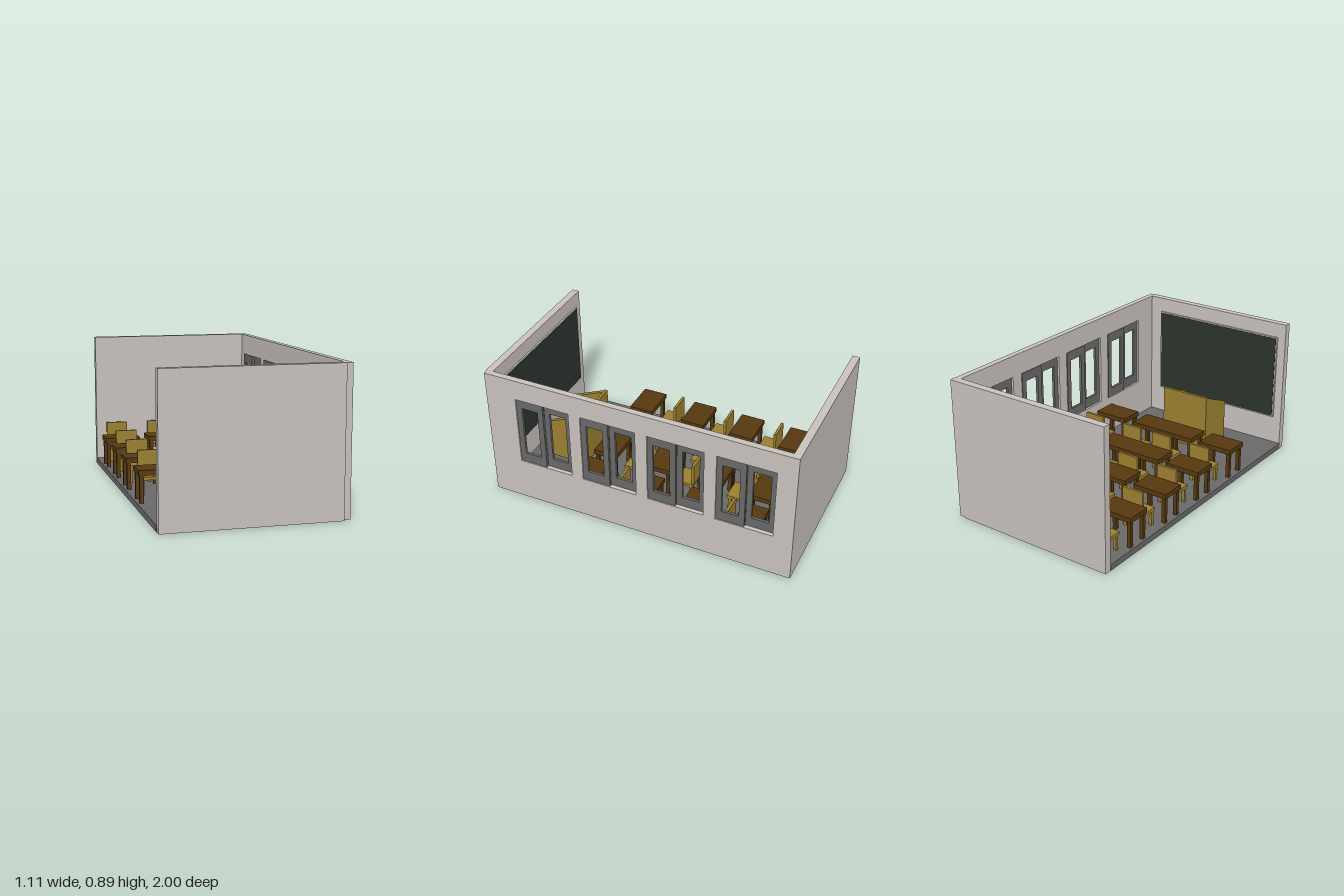
import * as THREE from 'three';

const mat = (color) => new THREE.MeshStandardMaterial({ color });
const wallMat = mat(0xc8c1bc), floorMat = mat(0x696969), frameMat = mat(0x686868);
const deskMat = mat(0x55380f), chairMat = mat(0x9b8030), boardMat = mat(0x2b342d);

// Box given by its minimum and maximum corners
function box(name, material, [x0, y0, z0], [x1, y1, z1]) {
  const mesh = new THREE.Mesh(new THREE.BoxGeometry(x1 - x0, y1 - y0, z1 - z0), material);
  mesh.position.set((x0 + x1) / 2, (y0 + y1) / 2, (z0 + z1) / 2);
  mesh.name = name;
  return mesh;
}

function rect(target, a0, b0, a1, b1) {
  target.moveTo(a0, b0);
  target.lineTo(a1, b0);
  target.lineTo(a1, b1);
  target.lineTo(a0, b1);
  target.closePath();
  return target;
}

// Plate in the z-y plane, extruded from x0 to x1 (shape x runs along -z)
function sidePlate(name, material, shape, x0, x1) {
  const geo = new THREE.ExtrudeGeometry(shape, { depth: x1 - x0, bevelEnabled: false });
  geo.rotateY(Math.PI / 2);
  const mesh = new THREE.Mesh(geo, material);
  mesh.position.x = x0;
  mesh.name = name;
  return mesh;
}

const FLOOR = 0.04;

// Four legs inside a footprint
function addLegs(group, name, material, w, d, top, t) {
  for (const sx of [-1, 1]) for (const sz of [-1, 1]) {
    const x = sx * (w / 2 - t / 2), z = sz * (d / 2 - t / 2);
    group.add(box(name, material, [x - t / 2, FLOOR, z - t / 2], [x + t / 2, top, z + t / 2]));
  }
}

function makeDesk() {
  const g = new THREE.Group();
  g.name = 'desk';
  g.add(box('deskTop', deskMat, [-0.115, 0.205, -0.08], [0.115, 0.237, 0.08]));
  addLegs(g, 'deskLeg', deskMat, 0.215, 0.145, 0.205, 0.024);
  return g;
}

function makeChair() {
  const g = new THREE.Group();
  g.name = 'chair';
  g.add(box('seat', chairMat, [-0.072, 0.132, -0.055], [0.072, 0.152, 0.062]));
  g.add(box('backrest', chairMat, [-0.07, 0.152, -0.062], [0.07, 0.297, -0.045]));
  addLegs(g, 'chairLeg', chairMat, 0.138, 0.108, 0.132, 0.02);
  return g;
}

function makeTeacherDesk() {
  const g = new THREE.Group();
  g.name = 'teacherDesk';
  const top = 0.415;
  g.add(box('frontPanel', chairMat, [-0.195, FLOOR, 0.57], [0.143, top, 0.59]));
  // Side panels slope down away from the pupils
  const side = new THREE.Shape();
  side.moveTo(-0.81, FLOOR);
  side.lineTo(-0.59, FLOOR);
  side.lineTo(-0.59, 0.41);
  side.lineTo(-0.81, 0.316);
  side.closePath();
  g.add(sidePlate('sidePanel', chairMat, side, -0.195, -0.167));
  g.add(sidePlate('sidePanel', chairMat, side, 0.115, 0.143));
  g.add(box('writingSurface', chairMat, [-0.167, 0.25, 0.59], [0.115, 0.275, 0.808]));
  return g;
}

// One window sash: a framed plate with an open centre
function makeSash(z0, x0, x1) {
  const w = 0.18;
  const shape = rect(new THREE.Shape(), -z0, 0.29, -z0 + w, 0.755);
  shape.holes.push(rect(new THREE.Path(), -z0 + 0.036, 0.355, -z0 + w - 0.036, 0.695));
  return sidePlate('windowSash', frameMat, shape, x0, x1);
}

export function createModel() {
  const model = new THREE.Group();
  model.name = 'classroom';

  // Room shell, open on the right side and the top
  model.add(box('floor', floorMat, [-0.553, 0.002, -0.957], [0.515, FLOOR, 0.957]));
  model.add(box('frontWall', wallMat, [-0.55, 0, 0.953], [0.513, 0.89, 1]));
  model.add(box('backWall', wallMat, [-0.55, 0, -1], [0.513, 0.89, -0.953]));

  // Window wall with four openings, each holding two offset sashes
  const windows = [0.79, 0.353, -0.082, -0.518];
  const wall = rect(new THREE.Shape(), -0.993, 0.004, 1, 0.89);
  for (const z of windows) {
    wall.holes.push(rect(new THREE.Path(), -z, 0.29, -z + 0.36, 0.755));
    model.add(makeSash(z, 0.528, 0.545));
    model.add(makeSash(z - 0.18, 0.508, 0.526));
  }
  model.add(sidePlate('windowWall', wallMat, wall, 0.513, 0.552));

  // Chalkboard on the front wall
  model.add(box('boardFrame', wallMat, [-0.495, 0.225, 0.943], [0.43, 0.795, 0.953]));
  model.add(box('chalkboard', boardMat, [-0.487, 0.233, 0.94], [0.422, 0.787, 0.944]));

  // Four rows of desks and chairs facing the board
  const deskX = [-0.43, -0.137, 0.093, 0.395];
  const chairX = [-0.417, -0.128, 0.103, 0.405];
  const deskZ = [-0.68, -0.335, 0.01, 0.385];
  const chairZ = [-0.852, -0.505, -0.157, 0.203];
  for (let row = 0; row < 4; row++) for (let col = 0; col < 4; col++) {
    const desk = makeDesk();
    desk.position.set(deskX[col], 0, deskZ[row]);
    const chair = makeChair();
    chair.position.set(chairX[col], 0, chairZ[row]);
    model.add(desk, chair);
  }

  model.add(makeTeacherDesk());
  return model;
}
